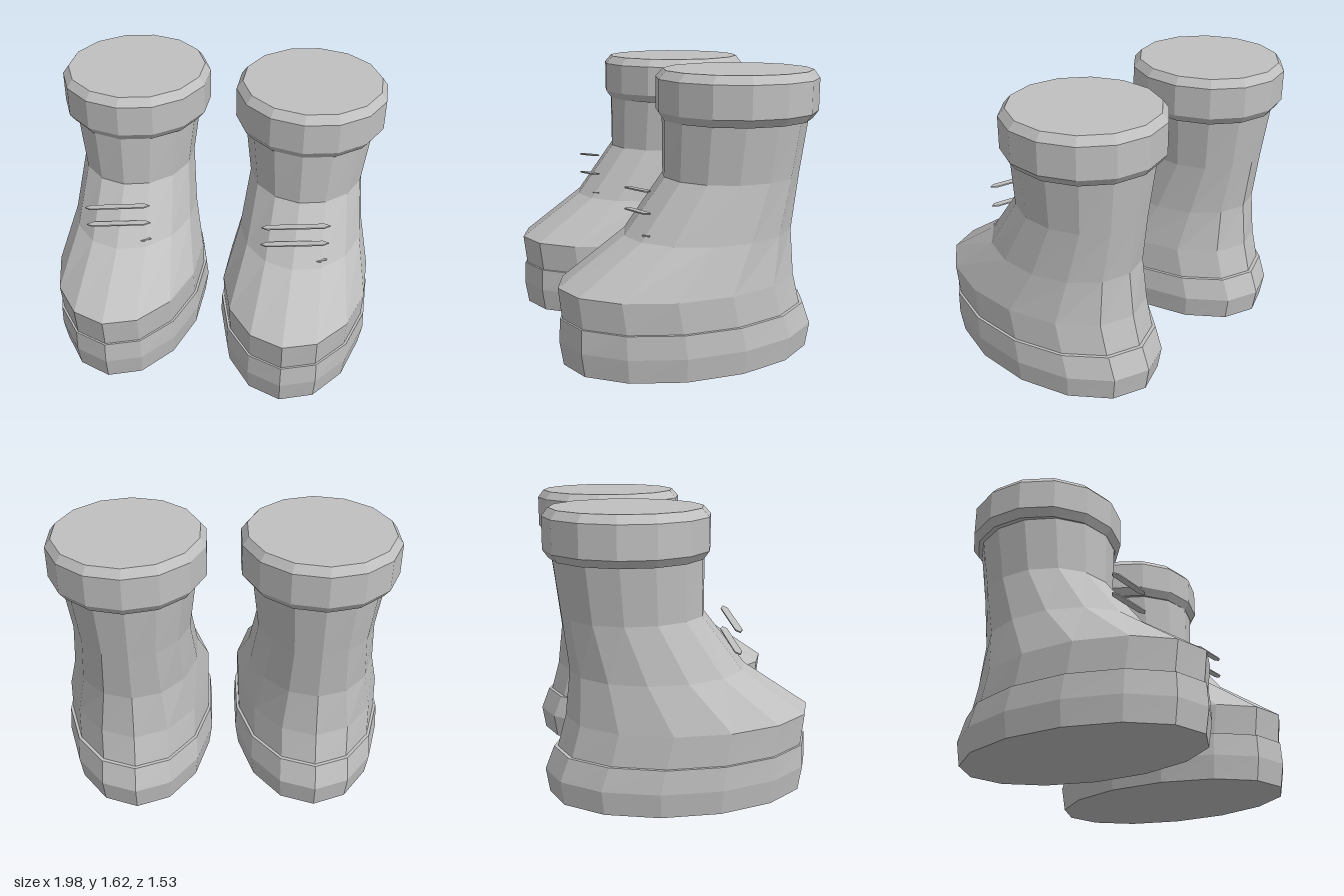
import * as THREE from 'three';

const SIDES = 14;

// Loft of elliptical rings [y, halfWidth, zFront, zBack], closed with flat caps
function loft(rings) {
  const pos = [], idx = [];
  for (const [y, w, zf, zb] of rings) {
    for (let i = 0; i < SIDES; i++) {
      const a = (i / SIDES) * Math.PI * 2;
      pos.push(Math.sin(a) * w, y, (zf + zb) / 2 + (Math.cos(a) * (zf - zb)) / 2);
    }
  }
  for (let r = 0; r < rings.length - 1; r++) {
    for (let i = 0; i < SIDES; i++) {
      const j = (i + 1) % SIDES, a = r * SIDES + i, b = r * SIDES + j;
      idx.push(a, b, b + SIDES, a, b + SIDES, a + SIDES);
    }
  }
  const top = (rings.length - 1) * SIDES;
  for (let i = 1; i < SIDES - 1; i++) {
    idx.push(0, i + 1, i);
    idx.push(top, top + i, top + i + 1);
  }
  const geo = new THREE.BufferGeometry();
  geo.setAttribute('position', new THREE.Float32BufferAttribute(pos, 3));
  geo.setIndex(idx);
  const flat = geo.toNonIndexed();
  flat.computeVertexNormals();
  return flat;
}

// Thin flat strip with pointed ends, lying level
function laceGeometry() {
  const s = new THREE.Shape();
  [[-0.2, 0], [-0.165, -0.02], [0.165, -0.02], [0.2, 0], [0.165, 0.02], [-0.165, 0.02]]
    .forEach(([x, z], i) => (i ? s.lineTo(x, z) : s.moveTo(x, z)));
  const geo = new THREE.ExtrudeGeometry(s, { depth: 0.008, bevelEnabled: false });
  return geo.translate(0, 0, -0.004).rotateX(-Math.PI / 2);
}

export function createModel() {
  const grey = new THREE.MeshStandardMaterial({ color: 0xc0c0c0 });
  grey.name = 'grey';
  grey.flatShading = true;

  const parts = {
    sole: loft([
      [0, 0.448, 0.743, -0.74],
      [0.14, 0.468, 0.765, -0.762],
      [0.275, 0.461, 0.757, -0.71],
    ]),
    upper: loft([
      [0.27, 0.445, 0.745, -0.69],
      [0.455, 0.447, 0.765, -0.64],
      [0.72, 0.38, 0.385, -0.61],
      [1.035, 0.344, 0.147, -0.648],
      [1.36, 0.385, 0.147, -0.69],
    ]),
    cuff: loft([
      [1.352, 0.412, 0.148, -0.708],
      [1.397, 0.447, 0.18, -0.74],
      [1.577, 0.447, 0.18, -0.74],
      [1.623, 0.412, 0.138, -0.705],
    ]),
  };
  const lace = laceGeometry();

  const model = new THREE.Group();
  model.name = 'boots';
  for (const side of [-1, 1]) {
    const boot = new THREE.Group();
    boot.name = side > 0 ? 'leftBoot' : 'rightBoot';
    boot.position.x = side * 0.532;
    for (const [name, geo] of Object.entries(parts)) {
      const mesh = new THREE.Mesh(geo, grey);
      mesh.name = name;
      boot.add(mesh);
    }
    // Slanted laces in front of the ankle, same slant on both boots
    [0.978, 0.853, 0.73].forEach((y, i) => {
      const mesh = new THREE.Mesh(lace, grey);
      mesh.name = 'lace' + (i + 1);
      mesh.position.set(-0.002, y, 0.305);
      mesh.rotation.set(0, 0.03, 0.15);
      boot.add(mesh);
    });
    model.add(boot);
  }
  return model;
}
